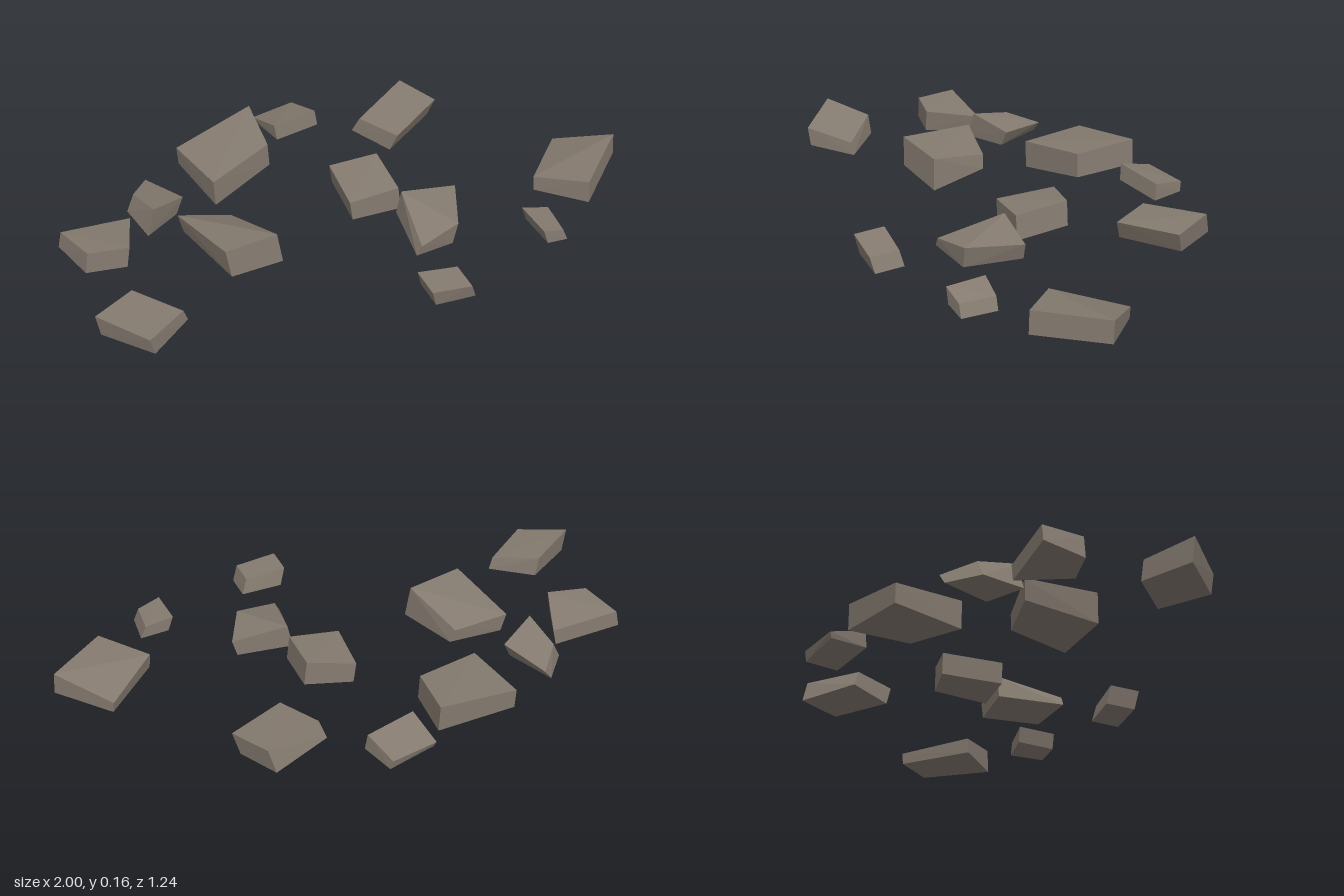
import * as THREE from 'three';
import { ConvexGeometry } from 'three/addons/geometries/ConvexGeometry.js';

const stoneGrey = new THREE.MeshStandardMaterial({ color: 0x857b70 });
stoneGrey.name = 'stoneGrey';

// One chipped slab: each corner is [x, z, topY, bottomY];
// the lean shifts the lower face sideways so some sides slope outwards.
function stone(name, corners, leanX = 0, leanZ = 0) {
  const points = corners.flatMap(([x, z, top, bottom]) => [
    new THREE.Vector3(x, top, z),
    new THREE.Vector3(x + leanX, bottom, z + leanZ),
  ]);
  const mesh = new THREE.Mesh(new ConvexGeometry(points), stoneGrey);
  mesh.name = name;
  return mesh;
}

export function createModel() {
  const group = new THREE.Group();
  group.name = 'scatteredStones';

  // Back row, corners run back left, back right, front right, front left
  group.add(
    stone('backSmallStone', [
      [-0.155, -0.57, 0.06, 0.04], [0.01, -0.62, 0.055, 0.02],
      [0.06, -0.5, 0.085, 0.025], [-0.115, -0.44, 0.1, 0.04]], 0.008, 0.006),
    stone('backLargeStone', [
      [-0.485, -0.43, 0.1, 0.03], [-0.185, -0.515, 0.155, 0.06],
      [-0.185, -0.3, 0.13, 0.04], [-0.42, -0.19, 0.1, 0]], 0.005, 0),
    stone('backRightStone', [
      [0.195, -0.39, 0.09, 0.03], [0.405, -0.53, 0.12, 0.04],
      [0.49, -0.39, 0.105, 0.03], [0.29, -0.25, 0.085, 0.015]], -0.022, -0.02),
  );

  // Left side
  group.add(
    stone('leftNarrowStone', [
      [-0.7, -0.22, 0.1, 0.04], [-0.63, -0.325, 0.07, 0.03],
      [-0.54, -0.16, 0.09, 0.03], [-0.665, -0.075, 0.13, 0.03]], -0.028, 0.01),
    stone('leftWedgeStone', [
      [-0.985, -0.1, 0.1, 0.04], [-0.74, -0.12, 0.08, 0.02],
      [-0.79, 0.07, 0.11, 0.03], [-0.93, 0.055, 0.11, 0.03]], -0.012, 0),
    stone('leftLongStone', [
      [-0.595, -0.03, 0.12, 0.05], [-0.41, -0.02, 0.08, 0.03],
      [-0.315, 0.2, 0.135, 0.02], [-0.51, 0.25, 0.15, 0.045]], 0.017, 0.006),
    stone('leftFrontStone', [
      [-0.99, 0.4, 0.135, 0.05], [-0.84, 0.285, 0.11, 0.04],
      [-0.7, 0.395, 0.07, 0.025], [-0.845, 0.52, 0.09, 0.025]], 0.015, -0.005),
  );

  // Middle
  group.add(
    stone('middleStone', [
      [-0.01, -0.14, 0.105, 0.03], [0.16, -0.12, 0.13, 0.04],
      [0.17, 0.07, 0.11, 0.02], [-0.01, 0.075, 0.095, 0.02]], 0.01, 0),
    stone('middleWedgeStone', [
      [0.165, 0.11, 0.125, 0.04], [0.365, 0.11, 0.1, 0.04],
      [0.3, 0.3, 0.09, 0.01], [0.15, 0.345, 0.065, 0.03]], -0.018, 0),
    stone('frontStone', [
      [0.07, 0.505, 0.1, 0.035], [0.215, 0.5, 0.08, 0.025],
      [0.225, 0.605, 0.075, 0.02], [0.08, 0.615, 0.095, 0.03]], 0.018, -0.012),
  );

  // Right side
  group.add(
    stone('rightLargeStone', [
      [0.65, 0.14, 0.085, 0.03], [0.82, 0.07 * -1, 0.065, 0.025],
      [0.995, 0.06, 0.13, 0.05], [0.805, 0.265, 0.11, 0.025]], 0.003, 0.004),
    stone('rightSmallStone', [
      [0.53, 0.31, 0.105, 0.05], [0.63, 0.31, 0.08, 0.035],
      [0.63, 0.435, 0.075, 0.03], [0.55, 0.45, 0.1, 0.045]], 0.018, 0),
  );

  return group;
}
